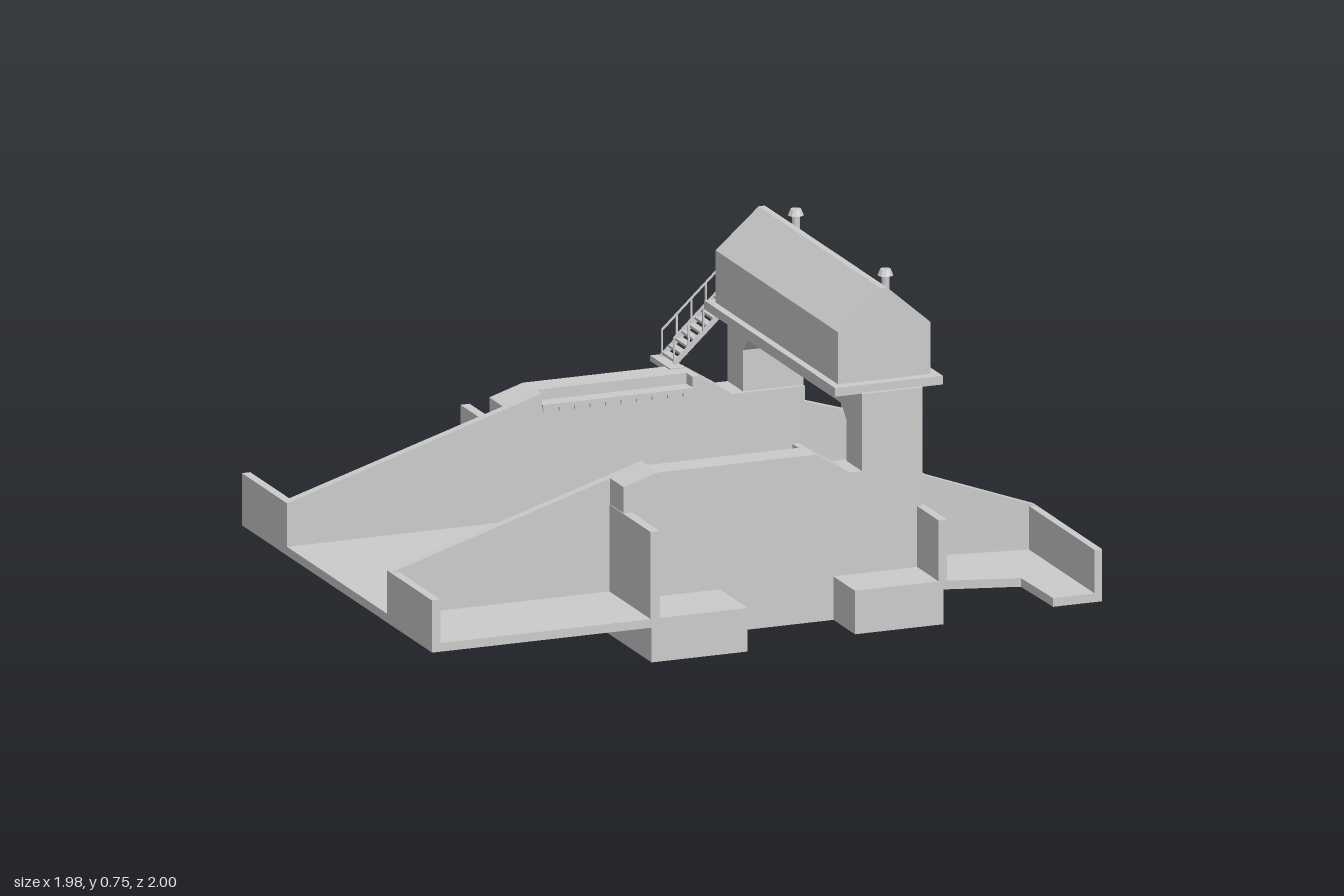
import * as THREE from 'three';

const mat = new THREE.MeshStandardMaterial({ color: 0xcccccc, flatShading: true });

export function createModel() {
  const model = new THREE.Group();
  model.name = 'sluiceGate';
  const body = new THREE.Group();
  body.name = 'structure';
  model.add(body);

  const add = (name, geo) => {
    const m = new THREE.Mesh(geo, mat);
    m.name = name;
    body.add(m);
    return m;
  };
  // Box from its limits
  const box = (name, xa, xb, y0, y1, za, zb) => {
    const g = new THREE.BoxGeometry(Math.abs(xb - xa), y1 - y0, Math.abs(zb - za));
    return add(name, g.translate((xa + xb) / 2, (y0 + y1) / 2, (za + zb) / 2));
  };
  const extrude = (pts, depth) => new THREE.ExtrudeGeometry(
    new THREE.Shape(pts.map(p => new THREE.Vector2(p[0], p[1]))), { depth, bevelEnabled: false });
  // Side profile of [z, y] points swept from xa to xb
  const sideways = (name, pts, xa, xb) => add(name,
    extrude(pts.map(([z, y]) => [-z, y]), Math.abs(xb - xa))
      .rotateY(Math.PI / 2).translate(Math.min(xa, xb), 0, 0));
  // Plan of [x, z] points raised from y0 to y1
  const plan = (name, pts, y0, y1) => add(name,
    extrude(pts.map(([x, z]) => [x, -z]), y1 - y0).rotateX(-Math.PI / 2).translate(0, y0, 0));
  // Thin straight bar between two points
  const bar = (name, a, b, t = 0.004) => {
    const p = new THREE.Vector3(...a), q = new THREE.Vector3(...b);
    const m = add(name, new THREE.BoxGeometry(t, t, p.distanceTo(q)));
    m.position.copy(p).add(q).multiplyScalar(0.5);
    m.lookAt(q);
  };

  // Foundation and floor slabs
  box('foundation', -0.39, 0.39, 0, 0.1, -0.384, 0.33);
  box('frontApron', -0.552, 0.552, 0.08, 0.1, 0.33, 0.855);
  plan('backApron', [
    [-0.515, -0.384], [-0.56, -0.55], [-0.736, -0.555], [-0.736, -0.672],
    [0.736, -0.672], [0.736, -0.555], [0.56, -0.55], [0.515, -0.384],
  ], 0.08, 0.1);

  for (const s of [-1, 1]) {
    // Footing blocks beside the abutments
    box('frontFooting', s * 0.38, s * 0.552, 0, 0.1, 0.1, 0.33);
    box('backFooting', s * 0.38, s * 0.515, 0, 0.1, -0.384, -0.172);

    // Abutment, its inner strip cut down for the ledge
    sideways('abutment', [
      [0.33, 0.1], [0.33, 0.36], [0.25, 0.385], [-0.13, 0.385],
      [-0.21, 0.335], [-0.384, 0.335], [-0.384, 0.1],
    ], s * 0.325, s * 0.39);
    sideways('abutmentInner', [
      [0.33, 0.1], [0.33, 0.36], [0.25, 0.385], [0.245, 0.385], [0.245, 0.36], [-0.115, 0.36],
      [-0.115, 0.385], [-0.13, 0.385], [-0.21, 0.335], [-0.384, 0.335], [-0.384, 0.1],
    ], s * 0.29, s * 0.325);
    box('ledge', s * 0.284, s * 0.3, 0.352, 0.361, -0.115, 0.245);
    for (let i = 0; i < 10; i++) {
      const z = -0.105 + i * 0.037;
      box('ledgeBracket', s * 0.285, s * 0.295, 0.343, 0.352, z, z + 0.014);
    }

    // Front sloping wall with its cross walls
    sideways('frontWingWall', [[0.33, 0.1], [0.855, 0.1], [0.855, 0.2], [0.33, 0.36]], s * 0.29, s * 0.312);
    box('frontEndWall', s * 0.29, s * 0.552, 0.08, 0.2, 0.835, 0.855);
    box('frontCrossWall', s * 0.3, s * 0.552, 0.1, 0.3, 0.31, 0.332);

    // Back wing wall, splayed outward toward the back
    const wing = sideways('backWingWall', [[-0.38, 0.1], [-0.672, 0.1], [-0.672, 0.2], [-0.38, 0.3]], s * 0.29, s * 0.312).geometry;
    const p = wing.attributes.position;
    for (let i = 0; i < p.count; i++) p.setX(i, p.getX(i) + s * 0.16 * (-0.38 - p.getZ(i)));
    wing.computeVertexNormals();
    box('backEndWall', s * 0.335, s * 0.736, 0.08, 0.2, -0.672, -0.654);
    box('backCrossWall', s * 0.3, s * 0.515, 0.1, 0.24, -0.392, -0.372);
  }

  // Portal: two piers and a beam with chamfered corners
  add('portal', extrude([
    [-0.39, 0.3], [-0.39, 0.512], [0.39, 0.512], [0.39, 0.3], [0.3, 0.3], [0.3, 0.43],
    [0.27, 0.46], [-0.27, 0.46], [-0.3, 0.43], [-0.3, 0.3],
  ], 0.145).translate(0, 0, -0.385));

  // Deck and gabled gate house
  box('deck', -0.38, 0.38, 0.51, 0.53, -0.438, -0.18);
  sideways('gateHouse', [
    [-0.197, 0.53], [-0.197, 0.65], [-0.3, 0.74], [-0.315, 0.74], [-0.418, 0.65], [-0.418, 0.53],
  ], -0.355, 0.355);
  for (const x of [-0.26, 0.26]) {
    add('ventPipe', new THREE.CylinderGeometry(0.009, 0.009, 0.05, 10).translate(x, 0.72, -0.35));
    add('ventCap', new THREE.CylinderGeometry(0.012, 0.018, 0.014, 10).translate(x, 0.747, -0.35));
  }

  // Side balcony with railing
  const xi = -0.385, xo = -0.455;
  box('balcony', -0.37, xo, 0.512, 0.53, -0.43, -0.25);
  for (let i = 0; i <= 4; i++) {
    const z = -0.428 + i * 0.044;
    bar('balconyPost', [xo, 0.53, z], [xo, 0.58, z]);
  }
  for (const y of [0.555, 0.58]) {
    bar('balconyRail', [xo, y, -0.43], [xo, y, -0.25]);
    bar('balconyRail', [xo, y, -0.428], [xi, y, -0.428]);
  }
  bar('balconyPost', [xi, 0.53, -0.428], [xi, 0.58, -0.428]);

  // Stair down to the top of the abutment
  const steps = 9, z0 = -0.25, z1 = -0.11, y0 = 0.52, y1 = 0.39;
  for (let i = 0; i < steps; i++) {
    const t = (i + 0.5) / steps;
    const z = z0 + (z1 - z0) * t, y = y0 + (y1 - y0) * t;
    box('stairTread', xi, xo, y - 0.003, y + 0.003, z - 0.009, z + 0.009);
  }
  for (const x of [xi, xo]) {
    bar('stairStringer', [x, y0, z0], [x, y1, z1], 0.009);
    bar('stairRail', [x, y0 + 0.06, z0], [x, y1 + 0.06, z1]);
    for (let i = 0; i <= 4; i++) {
      const t = i / 4, z = z0 + (z1 - z0) * t, y = y0 + (y1 - y0) * t;
      bar('stairPost', [x, y, z], [x, y + 0.06, z]);
    }
  }
  box('stairLanding', -0.36, -0.475, 0.375, 0.388, -0.125, -0.09);

  // The channel runs diagonally to the front
  body.rotation.y = -0.747;
  body.position.set(-0.009, 0, -0.008);
  return model;
}
